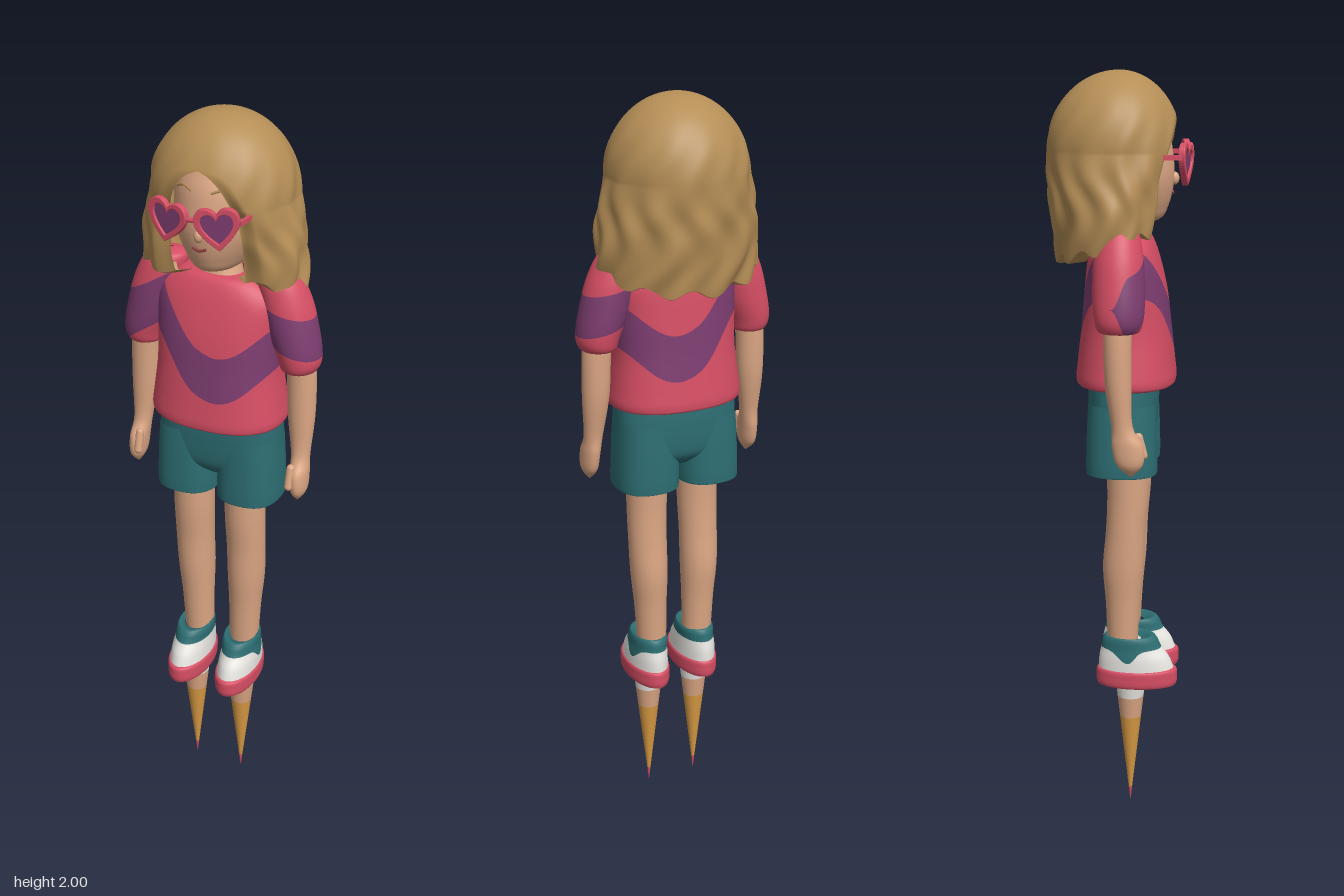
import * as THREE from 'three';

const mat = (name, color, side = THREE.FrontSide) => {
  const m = new THREE.MeshStandardMaterial({ color, side });
  m.name = name;
  return m;
};
const clamp = THREE.MathUtils.clamp, lerp = THREE.MathUtils.lerp, smooth = THREE.MathUtils.smoothstep;

// Smooth surface through rings [y, cx, cz, rx, rz], listed top to bottom; e < 1 squares the rings
function rings(keys, e = 1) {
  const n = keys.length - 1;
  const at = v => {
    const f = clamp(v, 0, 1) * n, i = Math.min(Math.floor(f), n - 1), t = f - i;
    const k = j => keys[clamp(j, 0, n)];
    return keys[0].map((_, c) => {
      const a = k(i - 1)[c], b = k(i)[c], d = k(i + 1)[c], g = k(i + 2)[c];
      const m0 = (d - a) / 2, m1 = (g - b) / 2;
      return b + t * (m0 + t * (3 * (d - b) - 2 * m0 - m1 + t * (2 * (b - d) + m0 + m1)));
    });
  };
  const pw = s => Math.sign(s) * Math.abs(s) ** e;
  const P = (u, v) => {
    const [y, cx, cz, rx, rz] = at(v), a = u * Math.PI * 2;
    return new THREE.Vector3(cx + rx * pw(Math.sin(a)), y, cz + rz * pw(Math.cos(a)));
  };
  // Row parameter at a given height
  P.rowAt = y => {
    let lo = 0, hi = 1;
    for (let i = 0; i < 24; i++) {
      const m = (lo + hi) / 2;
      if (at(m)[0] > y) lo = m; else hi = m;
    }
    return lo;
  };
  return P;
}

// Mesh of a surface between two row curves, with normals taken from the surface itself
function patch(name, material, P, v0 = () => 0, v1 = () => 1, nu = 40, nv = 28) {
  const pos = [], nor = [], idx = [], h = 1e-3;
  for (let j = 0; j <= nv; j++) for (let i = 0; i <= nu; i++) {
    const u = i / nu, v = lerp(v0(u), v1(u), j / nv);
    pos.push(...P(u, v).toArray());
    const w = clamp(v, h * 2, 1 - h * 2);
    const du = P(u + h, w).sub(P(u - h, w)), dv = P(u, w + h).sub(P(u, w - h));
    nor.push(...dv.cross(du).normalize().toArray());
    if (i < nu && j < nv) {
      const a = j * (nu + 1) + i, b = a + nu + 1;
      idx.push(a, b, a + 1, a + 1, b, b + 1);
    }
  }
  const g = new THREE.BufferGeometry();
  g.setAttribute('position', new THREE.Float32BufferAttribute(pos, 3));
  g.setAttribute('normal', new THREE.Float32BufferAttribute(nor, 3));
  g.setIndex(idx);
  const m = new THREE.Mesh(g, material);
  m.name = name;
  return m;
}

// Heart outline about w wide
function heart(C, w) {
  const s = new C(), k = w / 2;
  s.moveTo(0, -k * 0.98);
  s.bezierCurveTo(k * 0.5, -k * 0.6, k, -k * 0.1, k, k * 0.35);
  s.bezierCurveTo(k, k * 0.95, k * 0.2, k * 1.05, 0, k * 0.5);
  s.bezierCurveTo(-k * 0.2, k * 1.05, -k, k * 0.95, -k, k * 0.35);
  s.bezierCurveTo(-k, -k * 0.1, -k * 0.5, -k * 0.6, 0, -k * 0.98);
  return s;
}

export function createModel() {
  const root = new THREE.Group();
  const skin = mat('skin', 0xdba683), hair = mat('hair', 0xb58e56, THREE.DoubleSide);
  const pink = mat('pink', 0xd64e64, THREE.DoubleSide), purple = mat('purple', 0x7d3d70, THREE.DoubleSide);
  const teal = mat('teal', 0x2d6e73), white = mat('white', 0xe9e7e2);
  const gold = mat('gold', 0xd89a43), lips = mat('lips', 0x8f3c40);
  const add = (...m) => root.add(...m);
  const mesh = (name, geo, material, x = 0, y = 0, z = 0, parent = root) => {
    const m = new THREE.Mesh(geo, material);
    m.name = name;
    m.position.set(x, y, z);
    parent.add(m);
    return m;
  };
  // Cloth surface split into pink, purple band, pink by heights
  const striped = (name, P, mid, half) => {
    const top = u => P.rowAt(mid(u) + half(u)), low = u => P.rowAt(mid(u) - half(u));
    add(patch(name + 'Upper', pink, P, () => 0, top, 64, 14),
      patch(name + 'Band', purple, P, top, low, 64, 8),
      patch(name + 'Lower', pink, P, low, () => 1, 64, 14));
  };

  // Head, neck and face
  add(patch('head', skin, rings([[1.95, 0, 0, .005, .005], [1.92, 0, 0, .07, .08], [1.85, 0, 0, .11, .125],
    [1.78, 0, 0, .118, .14], [1.72, 0, 0, .112, .141], [1.66, 0, 0, .086, .127],
    [1.625, 0, .02, .055, .083], [1.61, 0, .03, .002, .003]])));
  add(patch('neck', skin, rings([[1.68, 0, 0, .045, .045], [1.62, 0, 0, .044, .044], [1.56, 0, .01, .06, .055]])));
  const nose = mesh('nose', new THREE.SphereGeometry(.013, 16, 12), skin, 0, 1.73, .142);
  nose.scale.set(.9, 1.3, 1);
  const arc = pts => new THREE.TubeGeometry(new THREE.CatmullRomCurve3(pts.map(p => new THREE.Vector3(...p))), 12, .0035, 6);
  mesh('mouth', arc([[-.019, 1.697, .137], [0, 1.691, .139], [.019, 1.697, .137]]), lips);

  // Wavy hair shell, parted over the face and folded in at its edges
  const hairSurface = (u, v) => {
    const t = clamp(v, 0, 1), dome = Math.min(t / .45, 1) * Math.PI / 2;
    const drop = clamp((t - .45) / .47, 0, 1), tuck = clamp((t - .92) / .08, 0, 1);
    const b = u * Math.PI * 2, back = (1 - Math.cos(b)) / 2;
    const bottom = lerp(1.6, 1.525, back) + .012 * Math.sin(b * 9);
    const y = drop > 0 ? lerp(1.8, bottom, drop) : 1.8 + .2 * Math.cos(dome);
    const part = clamp((1.89 - y) / .11, 0, 1), open = .56 * Math.sqrt(part);
    const a = open + u * (Math.PI * 2 - 2 * open);
    const edge = 1 - smooth(Math.min(u, 1 - u), 0, .035);
    const wave = .022 * smooth(t, .1, .75) * (Math.sin(a * 13 + 2.2 * Math.sin(y * 22)) + .6 * Math.sin(a * 7 - y * 38));
    const k = Math.sin(dome) * (1 + wave) * (1 - .14 * edge * part) * (1 - .35 * tuck);
    const rx = lerp(.186, .216, Math.sin(drop * Math.PI * .6));
    const rz = Math.cos(a) > 0 ? lerp(.163, .115, drop) : lerp(.186, .16, drop * drop);
    return new THREE.Vector3(rx * k * Math.sin(a), y, rz * k * Math.cos(a));
  };
  add(patch('hair', hair, hairSurface, () => 0, () => 1, 180, 70));

  // Shirt body
  const torso = rings([[1.6, 0, .01, .06, .05], [1.59, 0, .01, .115, .07], [1.54, 0, .012, .165, .09],
    [1.45, 0, .018, .165, .107], [1.35, 0, .02, .165, .118], [1.26, 0, .02, .176, .128],
    [1.215, 0, .02, .181, .132], [1.2, 0, .02, .17, .122], [1.199, 0, .02, .13, .07]], .85);
  striped('shirt', torso, u => {
    const x = .165 * Math.sin(u * Math.PI * 2) - .03;
    return 1.345 + (x < 0 ? .155 : .1) * (1 - Math.cos(x * Math.PI / .19)) / 2;
  }, () => .06);

  // Shorts seat
  add(patch('shortsSeat', teal, rings([[1.23, 0, .015, .165, .09], [1.15, 0, .013, .168, .093],
    [1.07, 0, .012, .165, .085], [1.03, 0, .012, .13, .05]], .75)));

  for (const s of [1, -1]) {
    const side = s > 0 ? 'left' : 'right';
    const limb = (name, m, keys, e) => add(patch(side + name, m, rings(keys.map(([y, x, ...r]) => [y, s * x, ...r]), e)));

    // Sleeves
    const sleeve = rings([[1.63, .14, .01, .004, .004], [1.615, .15, .01, .052, .045], [1.55, .175, .01, .065, .062],
      [1.46, .2, .012, .064, .066], [1.4, .216, .013, .056, .062], [1.37, .216, .013, .046, .052],
      [1.365, .216, .013, .03, .03]].map(([y, x, ...r]) => [y, s * x, ...r]));
    if (s > 0) striped('leftSleeve', sleeve, u => 1.475 - .015 * Math.sin(u * 6.283), () => .053);
    else striped('rightSleeve', sleeve, u => 1.475 + .045 * Math.sin(u * 6.283),
      u => .075 * smooth(Math.cos(u * 6.283), -.25, .45));

    // Arm, hand and thumb
    limb('Arm', skin, [[1.46, .21, .012, .036, .036], [1.36, .221, .01, .038, .036], [1.24, .225, .012, .036, .034],
      [1.13, .23, .022, .025, .027], [1.08, .234, .036, .024, .04], [1.03, .236, .042, .02, .034], [1.0, .235, .045, .002, .004]]);
    const thumb = mesh(side + 'Thumb', new THREE.CapsuleGeometry(.011, .05, 6, 12), skin, s * .22, 1.075, .07);
    thumb.rotation.x = -.25;

    // Shorts leg, leg
    limb('ShortsLeg', teal, [[1.16, .086, .013, .08, .088], [1.08, .087, .013, .084, .092], [.985, .088, .013, .086, .094],
      [.97, .088, .013, .08, .088], [.972, .088, .013, .05, .05]], .8);
    limb('Leg', skin, [[1.02, .076, .028, .056, .058], [.9, .076, .028, .055, .055], [.8, .077, .022, .053, .053],
      [.7, .076, .016, .051, .055], [.6, .073, .015, .045, .047], [.48, .07, .014, .041, .041]]);

    // Shoe: teal collar dipping on the outer side, white upper, pink sole
    const shoe = rings([[.49, .072, .025, .035, .04], [.505, .072, .032, .044, .062], [.495, .072, .034, .049, .074],
      [.47, .073, .038, .049, .082], [.44, .074, .046, .052, .096], [.4, .074, .053, .054, .105]].map(([y, x, ...r]) => [y, s * x, ...r]));
    const collar = u => {
      const a = Math.abs((u * s + 1) % 1 * Math.PI * 2 - 1.75);
      return lerp(.5, 1, 0) + .1 + .22 * Math.exp(-((a / .35) ** 2));
    };
    add(patch(side + 'ShoeCollar', teal, shoe, () => 0, collar, 64, 12),
      patch(side + 'ShoeUpper', white, shoe, collar, () => 1, 64, 12));
    limb('ShoeSole', pink, [[.412, .074, .053, .04, .08], [.41, .074, .053, .056, .107], [.39, .074, .053, .058, .111],
      [.367, .074, .053, .056, .109], [.361, .074, .053, .045, .095], [.36, .074, .053, .002, .004]]);

    // Tapering spike under the shoe
    const radius = y => .038 * y / .34;
    for (const [name, m, y1, y0] of [['SpikeCuff', white, .37, .325], ['SpikeTop', skin, .325, .265],
      ['Spike', gold, .265, .045], ['SpikeTip', pink, .045, .005]])
      mesh(side + name, new THREE.CylinderGeometry(radius(y1), radius(y0), y1 - y0, 24, 1, name !== 'SpikeTip'), m,
        s * .072, (y1 + y0) / 2, .036);

    // Heart glasses
    const lens = new THREE.Group();
    lens.name = side + 'Lens';
    lens.position.set(s * .064, 1.773, .167);
    lens.rotation.set(0, s * .2, s * .12);
    const frame = heart(THREE.Shape, .108);
    frame.holes.push(heart(THREE.Path, .084));
    mesh('lensFrame', new THREE.ExtrudeGeometry(frame, { depth: .012, bevelSize: .002, bevelThickness: .002, bevelSegments: 2, curveSegments: 14 }), pink, 0, 0, 0, lens);
    mesh('lensPane', new THREE.ExtrudeGeometry(heart(THREE.Shape, .09), { depth: .004, bevelEnabled: false, curveSegments: 14 }), purple, 0, 0, .004, lens);
    add(lens);
    const temple = mesh(side + 'Temple', new THREE.BoxGeometry(.008, .012, .1), pink, s * .124, 1.79, .115);
    temple.rotation.y = -s * .1;

    // Eyebrow
    mesh(side + 'Brow', arc([[s * .025, 1.834, .126], [s * .05, 1.842, .116], [s * .075, 1.833, .101]]), hair);
  }
  const bridge = mesh('glassesBridge', new THREE.CapsuleGeometry(.006, .03, 4, 10), pink, 0, 1.785, .182);
  bridge.rotation.z = Math.PI / 2;
  return root;
}
